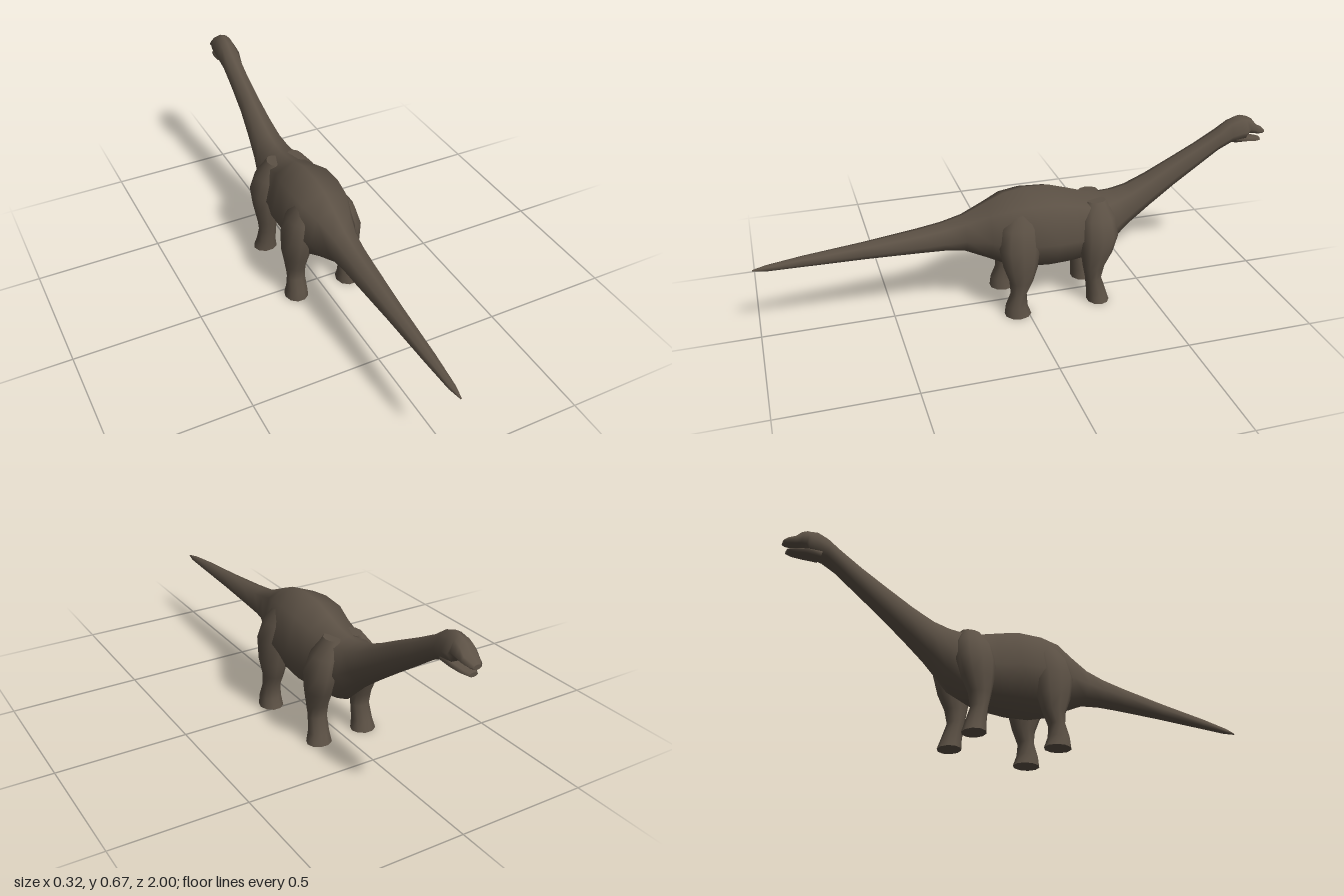
import * as THREE from 'three';

const hide = new THREE.MeshStandardMaterial({ color: 0x5c5145 });
hide.name = 'brownHide';

// Skin a list of rings; each ring runs counter-clockwise seen from the start end.
function loft(name, rings) {
  const n = rings[0].length;
  const pos = rings.flat(2);
  const index = [];
  for (let i = 0; i < rings.length - 1; i++) {
    for (let j = 0; j < n; j++) {
      const a = i * n + j, b = i * n + (j + 1) % n, c = a + n, d = b + n;
      index.push(a, c, b, b, c, d);
    }
  }
  // Hard-edged end caps
  [rings[0], rings[rings.length - 1]].forEach((ring, end) => {
    const base = pos.length / 3;
    const mid = [0, 1, 2].map(k => ring.reduce((s, p) => s + p[k], 0) / n);
    pos.push(...mid, ...ring.flat());
    for (let j = 0; j < n; j++) {
      const a = base + 1 + j, b = base + 1 + (j + 1) % n;
      if (end) index.push(base, b, a);
      else index.push(base, a, b);
    }
  });
  const geo = new THREE.BufferGeometry();
  geo.setAttribute('position', new THREE.Float32BufferAttribute(pos, 3));
  geo.setIndex(index);
  geo.computeVertexNormals();
  const mesh = new THREE.Mesh(geo, hide);
  mesh.name = name;
  return mesh;
}

// Upright eight-sided section from z, top, bottom and half width
function section([z, top, bottom, w, shoulder = 0.7]) {
  const y = t => bottom + (top - bottom) * t;
  return [
    [0, top, z], [-w * shoulder, y(0.88), z], [-w, y(0.46), z], [-w * 0.6, y(0.15), z],
    [0, bottom, z], [w * 0.6, y(0.15), z], [w, y(0.46), z], [w * shoulder, y(0.88), z],
  ];
}

// Level elliptical ring for a leg from y, x, x radius, z, z radius
function legRing([y, x, rx, z, rz], side) {
  return Array.from({ length: 10 }, (_, j) => {
    const a = j / 10 * Math.PI * 2;
    return [side * x + Math.cos(a) * rx, y, z + Math.sin(a) * rz];
  });
}

// Tail tip to snout
const bodyProfile = [
  [1.0, 0.288, 0.282, 0.003],
  [0.95, 0.298, 0.276, 0.014],
  [0.82, 0.314, 0.274, 0.024],
  [0.6, 0.335, 0.27, 0.036],
  [0.4, 0.358, 0.263, 0.05],
  [0.3, 0.374, 0.257, 0.056],
  [0.22, 0.396, 0.245, 0.064],
  [0.13, 0.437, 0.2, 0.095],
  [0.06, 0.467, 0.162, 0.13],
  [-0.02, 0.48, 0.137, 0.141],
  [-0.12, 0.475, 0.127, 0.14],
  [-0.2, 0.45, 0.13, 0.118],
  [-0.26, 0.43, 0.137, 0.112],
  [-0.33, 0.42, 0.165, 0.1],
  [-0.38, 0.423, 0.212, 0.083],
  [-0.44, 0.436, 0.268, 0.069],
  [-0.52, 0.472, 0.33, 0.057],
  [-0.62, 0.525, 0.403, 0.046],
  [-0.72, 0.576, 0.474, 0.042],
  [-0.8, 0.62, 0.532, 0.042],
  [-0.85, 0.657, 0.558, 0.05, 0.5],
  [-0.89, 0.672, 0.562, 0.05, 0.5],
  [-0.915, 0.666, 0.568, 0.047, 0.5],
  [-0.925, 0.662, 0.59, 0.045, 0.55],
  [-0.945, 0.65, 0.59, 0.042, 0.6],
  [-0.965, 0.625, 0.588, 0.036],
  [-0.99, 0.613, 0.585, 0.026],
  [-1.0, 0.604, 0.587, 0.016],
];

const jawProfile = [
  [-0.87, 0.595, 0.562, 0.04],
  [-0.92, 0.585, 0.563, 0.04],
  [-0.96, 0.577, 0.558, 0.031],
  [-0.985, 0.572, 0.556, 0.017],
];

const hindLegProfile = [
  [0, 0.113, 0.047, 0.04, 0.052],
  [0.04, 0.113, 0.042, 0.045, 0.042],
  [0.09, 0.112, 0.037, 0.037, 0.03],
  [0.14, 0.11, 0.04, 0.026, 0.046],
  [0.2, 0.108, 0.052, 0.028, 0.066],
  [0.285, 0.102, 0.058, 0.03, 0.08],
  [0.36, 0.085, 0.052, 0.025, 0.072],
  [0.43, 0.06, 0.03, 0.015, 0.04],
];

const frontLegProfile = [
  [0, 0.097, 0.049, -0.292, 0.044],
  [0.04, 0.095, 0.04, -0.285, 0.038],
  [0.1, 0.093, 0.037, -0.272, 0.031],
  [0.15, 0.094, 0.041, -0.272, 0.042],
  [0.21, 0.096, 0.048, -0.282, 0.062],
  [0.28, 0.093, 0.055, -0.29, 0.076],
  [0.35, 0.074, 0.05, -0.29, 0.068],
  [0.41, 0.045, 0.03, -0.29, 0.04],
];

export function createModel() {
  const model = new THREE.Group();
  model.name = 'longNeckedDinosaur';
  model.add(loft('bodyNeckAndTail', bodyProfile.map(section)));
  model.add(loft('lowerJaw', jawProfile.map(section)));
  for (const [side, label] of [[1, 'left'], [-1, 'right']]) {
    model.add(loft(label + 'HindLeg', hindLegProfile.map(r => legRing(r, side))));
    model.add(loft(label + 'FrontLeg', frontLegProfile.map(r => legRing(r, side))));
  }
  return model;
}
